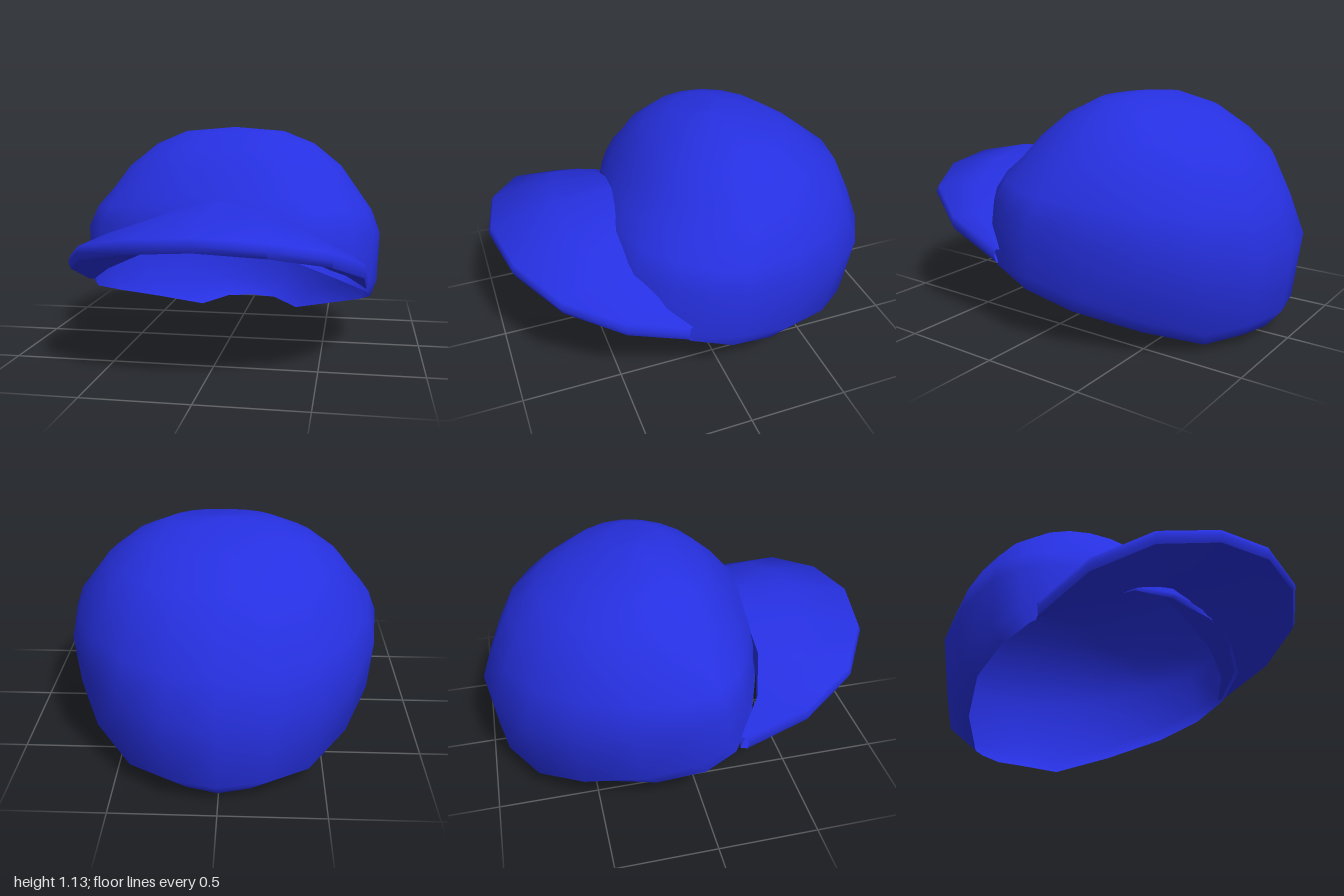
import * as THREE from 'three';
import { toCreasedNormals } from 'three/addons/utils/BufferGeometryUtils.js';

// Skin rows of points; every row is a closed loop.
function loft(rows, crease) {
  const n = rows[0].length, pos = rows.flat(2), idx = [];
  for (let r = 0; r < rows.length - 1; r++) {
    for (let c = 0; c < n; c++) {
      const a = r * n + c, b = r * n + (c + 1) % n;
      idx.push(a, b, b + n, a, b + n, a + n);
    }
  }
  const g = new THREE.BufferGeometry();
  g.setAttribute('position', new THREE.Float32BufferAttribute(pos, 3));
  g.setIndex(idx);
  g.computeVertexNormals();
  return crease ? toCreasedNormals(g, crease) : g;
}

const mirrorX = ([x, y, z]) => [-x, y, z];
// Half loop from front centre over +x to back centre, completed on -x.
const closeLoop = (half) => [...half, ...half.slice(1, -1).reverse().map(mirrorX)];

// Egg-shaped ring: front and back points, half width, and z of the widest place.
function ring(zFront, yFront, zBack, yBack, width, zWide) {
  const half = [];
  for (let j = 0; j <= 10; j++) {
    const a = (j / 10) * Math.PI, c = Math.cos(a);
    const s = j === 10 ? 0 : Math.sin(a);
    const z = zWide + c * (c > 0 ? zFront - zWide : zWide - zBack);
    const t = (z - zBack) / (zFront - zBack);
    half.push([width * (c > 0 ? Math.pow(s, 0.85) : s), yBack + (yFront - yBack) * t, z]);
  }
  return closeLoop(half);
}

// The cloth bulges further forward on the left of the front.
const skewFront = ([x, y, z]) => [x, y, z + x * Math.max(z, 0) ** 2];
const mix = (a, b, t) => a + (b - a) * t;

export function createModel() {
  const group = new THREE.Group();
  group.name = 'cap';
  const blue = new THREE.MeshStandardMaterial({ color: 0x2630e0, side: THREE.DoubleSide });
  blue.name = 'blue cloth';

  // Crown: open rim that curls inward, a full band above it, then rings up to the top
  const rim = closeLoop([
    [0, 0.64, 0.41], [0.25, 0.6, 0.42], [0.41, 0.51, 0.41], [0.6, 0.42, 0.33],
    [0.715, 0.33, 0.18], [0.745, 0.26, 0], [0.69, 0.185, -0.23], [0.52, 0.09, -0.5],
    [0.3, 0, -0.71], [0.15, 0.03, -0.84], [0, 0.03, -0.88],
  ]);
  const band = ring(0.435, 0.66, -1.0, 0.45, 0.785, -0.05);
  const curl = rim.map((p, i) => [mix(p[0], band[i][0], 0.75), mix(p[1], band[i][1], 0.23), mix(p[2], band[i][2], 0.68)]);
  const crownRows = [
    rim, curl, band,
    ring(0.4, 0.74, -0.92, 0.65, 0.74, -0.08),
    ring(0.355, 0.8, -0.83, 0.84, 0.66, -0.12),
    ring(0.27, 0.92, -0.69, 0.95, 0.575, -0.15),
    ring(0.16, 1.03, -0.52, 1.06, 0.435, -0.17),
    ring(0.01, 1.11, -0.32, 1.115, 0.27, -0.17),
    ring(-0.17, 1.135, -0.17001, 1.135, 0.0001, -0.17),
  ].map((row) => row.map(skewFront));
  const crown = new THREE.Mesh(loft(crownRows), blue);
  crown.name = 'crown';
  group.add(crown);

  // Visor: arched plate, stations from the centre out to the side tab
  const root = [[0, 0.79, 0.34], [0.18, 0.755, 0.34], [0.4, 0.66, 0.35], [0.59, 0.55, 0.29], [0.705, 0.41, 0.18]];
  const edge = [[0, 0.705, 0.98], [0.305, 0.68, 0.925], [0.565, 0.62, 0.765], [0.705, 0.525, 0.51], [0.72, 0.41, 0.21]];
  const rootDrop = [0.1, 0.12, 0.15, 0.13, 0.07];
  const edgeDrop = 0.065;
  const down = ([x, y, z], d) => [x, y - d, z];
  const stations = root.map((r, i) => {
    const e = edge[i];
    const lift = 0.025 * (1 - i / 4);
    const mid = [(r[0] + e[0]) / 2, (r[1] + e[1]) / 2 + lift, (r[2] + e[2]) / 2];
    const lip = [e[0] * 1.012, e[1] - edgeDrop / 2, e[2] * 1.015];
    return [r, mid, e, lip, down(e, edgeDrop), down(mid, (edgeDrop + rootDrop[i]) / 2), down(r, rootDrop[i])];
  });
  const visorRows = [...stations.slice(1).reverse().map((s) => s.map(mirrorX)), ...stations];
  const visor = new THREE.Mesh(loft(visorRows, 1.1), blue);
  visor.name = 'visor';
  group.add(visor);

  return group;
}
